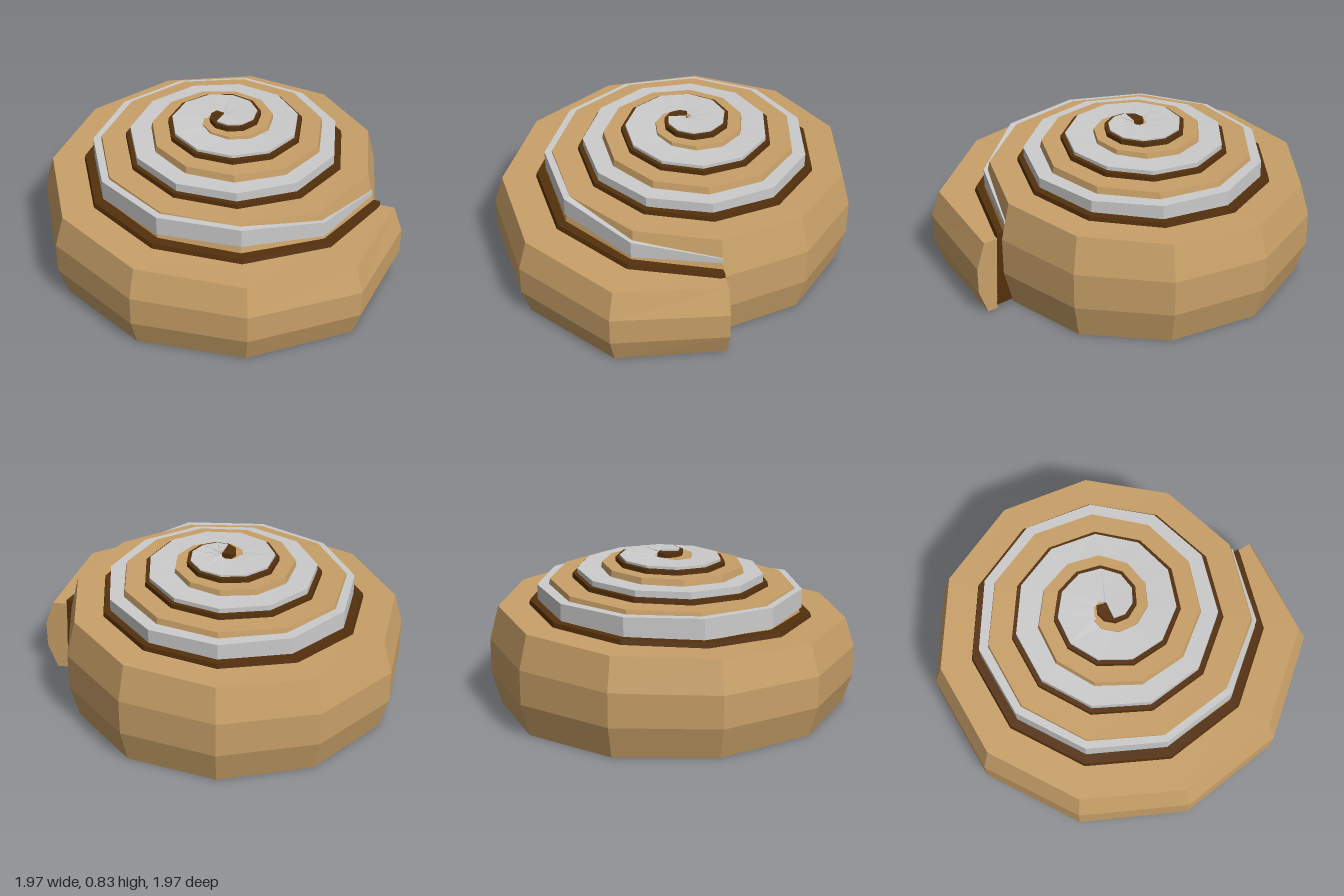
import * as THREE from 'three';

const STEPS = 11;          // sections per turn of the spiral
const LAST = 40;           // innermost section
const CENTRE = { x: -0.02, z: -0.06 };

// Piecewise-linear value from a few [section, value] keys
function key(keys, i) {
  for (let k = 1; k < keys.length; k++) {
    const [a, va] = keys[k - 1], [b, vb] = keys[k];
    if (i <= b) return va + (vb - va) * Math.max(0, (i - a) / (b - a));
  }
  return keys[keys.length - 1][1];
}

// Radii and heights along the spiral, from the outer end inwards
const doughR = i => (i < 1 ? 1.01 + 0.1 * i : 1.11 - 0.0256 * (i - 1));
const doughTop = i => 0.8 - 0.38 * (1 - i / LAST) ** 2;
const fillingR = i => 0.88 - 0.0212 * i;
const icingR = i => fillingR(i) - key([[0, 0.045], [5, 0.05], [14, 0.025], [40, 0.02]], i);
const innerR = i => Math.max(0, doughR(i + STEPS) - 0.07);
const icingTop = i => key([[0, 0.505], [2, 0.625], [5, 0.645], [11, 0.685], [16, 0.725], [27, 0.8], [36, 0.83]], i);
const icingBottom = i => key([[0, 0.43], [2, 0.525], [5, 0.53], [11, 0.63], [16, 0.665], [27, 0.765], [36, 0.79]], i);

// Sweep a convex (radius, y) profile along the spiral, with capped ends
function spiral(name, color, last, profile) {
  const pos = [];
  const rings = [];
  for (let i = 0; i <= last; i++) {
    const a = THREE.MathUtils.degToRad(-4) + (i * 2 * Math.PI) / STEPS;
    rings.push(profile(i).map(([r, y]) => [CENTRE.x + r * Math.cos(a), y, CENTRE.z + r * Math.sin(a)]));
  }
  const tri = (a, b, c) => pos.push(...a, ...b, ...c);
  const n = rings[0].length;
  for (let i = 0; i < last; i++) {
    const a = rings[i], b = rings[i + 1];
    for (let j = 0; j < n; j++) {
      const k = (j + 1) % n;
      tri(a[j], a[k], b[j]);
      tri(a[k], b[k], b[j]);
    }
  }
  for (let j = 1; j < n - 1; j++) {
    tri(rings[0][0], rings[0][j + 1], rings[0][j]);
    tri(rings[last][0], rings[last][j], rings[last][j + 1]);
  }
  const geo = new THREE.BufferGeometry();
  geo.setAttribute('position', new THREE.Float32BufferAttribute(pos, 3));
  geo.computeVertexNormals();
  const mesh = new THREE.Mesh(geo, new THREE.MeshStandardMaterial({ color, flatShading: true }));
  mesh.name = name;
  return mesh;
}

export function createModel() {
  const group = new THREE.Group();
  group.name = 'cinnamonRoll';

  // Dough: bulging outer wall, inner wall leaning outwards at the base
  group.add(spiral('dough', 0xc8a068, LAST, i => {
    const r = doughR(i), h = doughTop(i);
    return [
      [r - 0.05, 0], [r, h * 0.33], [r, h * 0.67], [r - 0.05, h],
      [Math.max(0, fillingR(i) - (i ? 0.01 : 0)), h], [Math.max(0, r - 0.11), 0],
    ];
  }));

  // Dark filling between the turns of dough
  group.add(spiral('filling', 0x54300c, LAST - 1, i => {
    const top = doughTop(i) + 0.025;
    return [
      [Math.max(0.02, doughR(i) - 0.105), 0.02], [fillingR(i), top],
      [innerR(i), top], [innerR(i), 0.02],
    ];
  }));

  // Icing ribbon lying on the filling
  group.add(spiral('icing', 0xcccccc, 36, i => [
    [icingR(i), icingBottom(i)], [icingR(i), icingTop(i)],
    [innerR(i), icingTop(i)], [innerR(i), icingBottom(i)],
  ]));
  return group;
}
